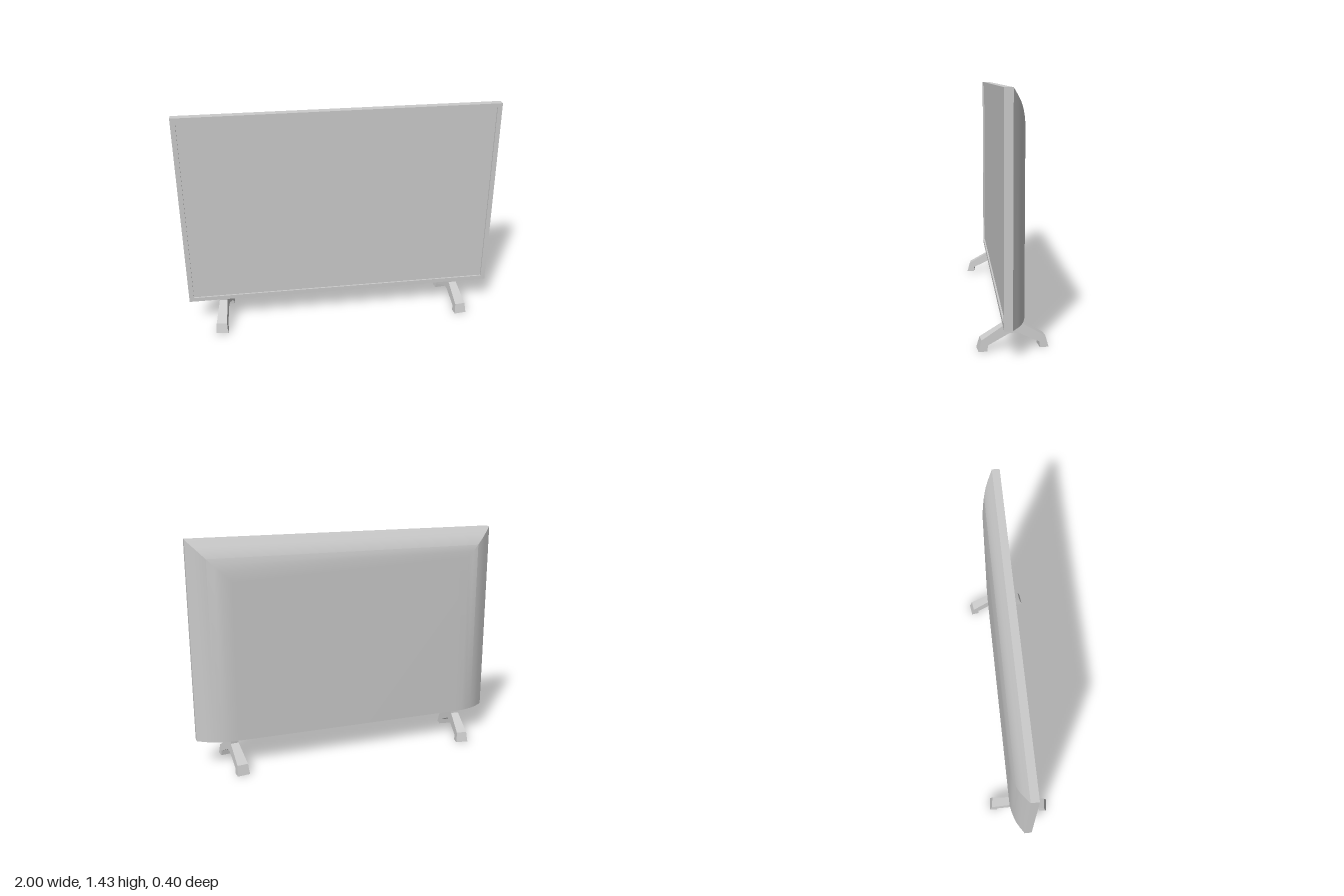
import * as THREE from 'three';
import { toCreasedNormals } from 'three/addons/utils/BufferGeometryUtils.js';

const BOTTOM = 0.175, TOP = 1.43, FRONT = 0.065, SEAM = 0.018;

function addMesh(group, name, geometry) {
  const material = new THREE.MeshStandardMaterial({ color: 0xcccccc });
  const mesh = new THREE.Mesh(geometry, material);
  mesh.name = name;
  group.add(mesh);
  return mesh;
}

// Rectangle corners, counter-clockwise
function rectangle(x, y0, y1) {
  return [[-x, y0], [x, y0], [x, y1], [-x, y1]].map(([a, b]) => new THREE.Vector2(a, b));
}

// Shallow frame around the display
function bezelGeometry() {
  const shape = new THREE.Shape(rectangle(1, BOTTOM, TOP));
  shape.holes.push(new THREE.Path(rectangle(0.97, BOTTOM + 0.027, TOP - 0.027)));
  return new THREE.ExtrudeGeometry(shape, { depth: FRONT - SEAM, bevelEnabled: false })
    .translate(0, 0, SEAM);
}

// Rear shell: curved inwards at the top and sides, cut flat at the bottom
function backCoverGeometry() {
  const profile = [ // inset, z
    [0, SEAM], [0.045, -0.012], [0.075, -0.029], [0.11, -0.043],
    [0.15, -0.054], [0.19, -0.062], [0.25, -0.063],
  ];
  const rings = profile.map(([d, z]) => [
    [1 - d, BOTTOM, z], [d - 1, BOTTOM, z], [d - 1, TOP - d, z], [1 - d, TOP - d, z],
  ]);
  const positions = [];
  const quad = (a, b, c, d) => positions.push(...a, ...b, ...c, ...a, ...c, ...d);
  for (let i = 0; i < rings.length - 1; i++) {
    for (let j = 0; j < 4; j++) {
      const k = (j + 1) % 4;
      quad(rings[i][j], rings[i][k], rings[i + 1][k], rings[i + 1][j]);
    }
  }
  quad(...rings[rings.length - 1]);
  const geometry = new THREE.BufferGeometry();
  geometry.setAttribute('position', new THREE.Float32BufferAttribute(positions, 3));
  return toCreasedNormals(geometry, 0.45);
}

// Arched foot, widening towards the floor
function legGeometry() {
  const half = [ // z, y
    [0.035, 0.18], [0.035, 0.15], [0.18, 0.063], [0.197, 0],
    [0.148, 0], [0.145, 0.033], [0.022, 0.093],
  ];
  const mirrored = half.map(([z, y]) => [-z, y]).reverse();
  const outline = [...half, ...mirrored].map(([z, y]) => new THREE.Vector2(z, y));
  const geometry = new THREE.ExtrudeGeometry(new THREE.Shape(outline), { depth: 1, bevelEnabled: false })
    .translate(0, 0, -0.5)
    .rotateY(-Math.PI / 2);
  const p = geometry.attributes.position;
  for (let i = 0; i < p.count; i++) p.setX(i, p.getX(i) * (0.078 - 0.18 * p.getY(i)));
  geometry.computeVertexNormals();
  return geometry;
}

export function createModel() {
  const group = new THREE.Group();
  group.name = 'television';

  addMesh(group, 'bezel', bezelGeometry());

  // Display sits slightly behind the bezel
  const screen = addMesh(group, 'screen', new THREE.BoxGeometry(1.95, TOP - BOTTOM - 0.045, 0.036));
  screen.position.set(0, (TOP + BOTTOM) / 2, 0.037);

  addMesh(group, 'backCover', backCoverGeometry());

  // Two feet, splayed outwards at the front
  for (const side of [1, -1]) {
    const leg = addMesh(group, side > 0 ? 'leftLeg' : 'rightLeg', legGeometry());
    leg.position.x = side * 0.777;
    leg.rotation.y = side * 0.127;
  }
  return group;
}
